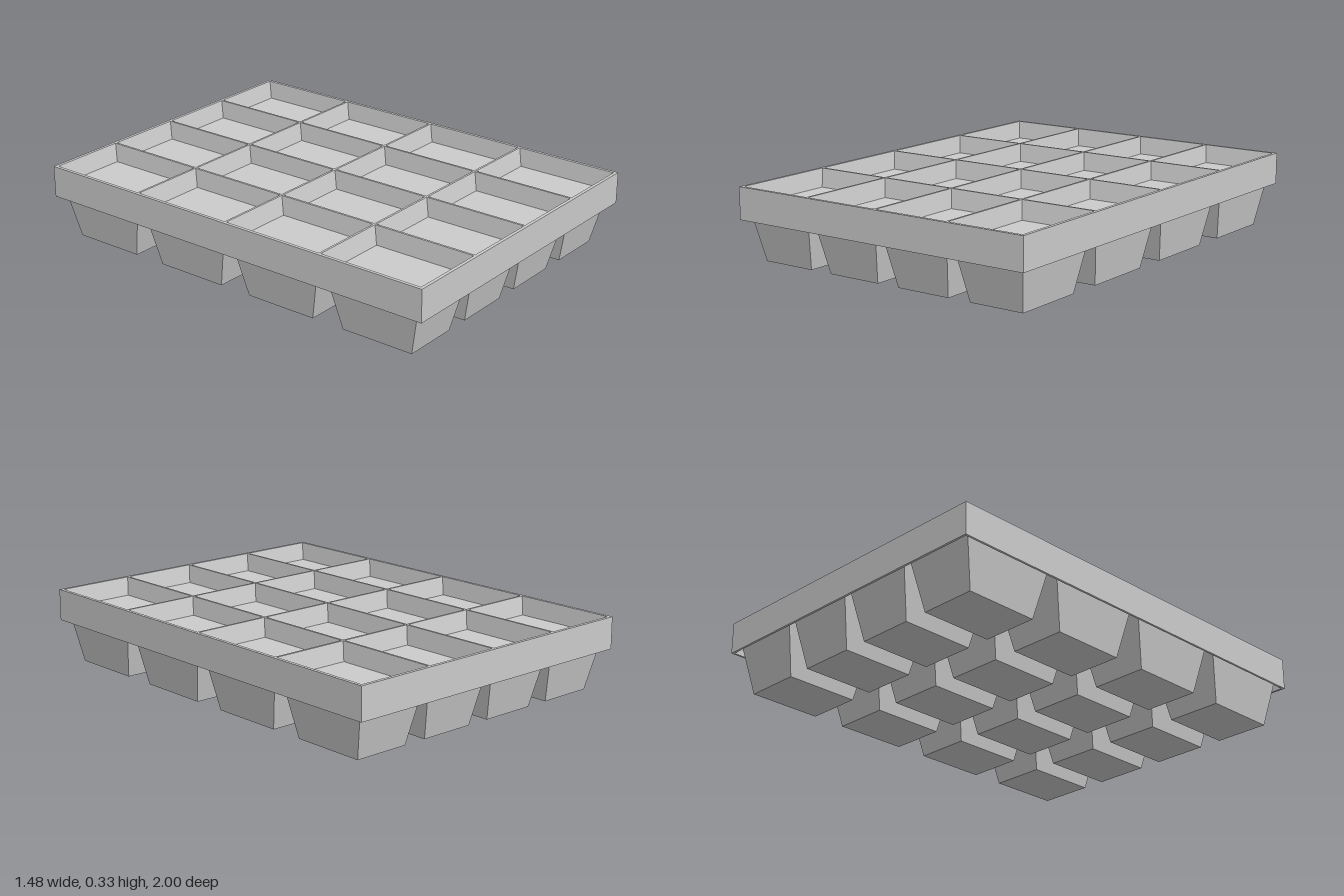
import * as THREE from 'three';

// Skin rectangular rings [halfX, y, halfZ] in order; optionally close the first ring from below.
function loftRects(rings, closeBottom) {
  const signs = [[1, 1], [1, -1], [-1, -1], [-1, 1]];
  const corners = rings.map(([hx, y, hz]) => signs.map(([sx, sz]) => [sx * hx, y, sz * hz]));
  const pos = [];
  const quad = (a, b, c, d) => pos.push(...a, ...b, ...c, ...a, ...c, ...d);
  for (let i = 0; i < corners.length - 1; i++) {
    const lo = corners[i], hi = corners[i + 1];
    for (let k = 0; k < 4; k++) {
      const n = (k + 1) % 4;
      quad(lo[k], lo[n], hi[n], hi[k]);
    }
  }
  if (closeBottom) {
    const [a, b, c, d] = corners[0];
    quad(d, c, b, a);
  }
  const geo = new THREE.BufferGeometry();
  geo.setAttribute('position', new THREE.Float32BufferAttribute(pos, 3));
  geo.computeVertexNormals();
  return geo;
}

export function createModel() {
  const group = new THREE.Group();
  group.name = 'seedlingTray';
  const mat = new THREE.MeshStandardMaterial({ color: 0xcccccc, flatShading: true, side: THREE.DoubleSide });
  const top = 0.332, fillY = 0.25, rimBottom = 0.188;
  const pitchX = 0.365, pitchZ = 0.495, count = 4;

  // Hollow rim skirt around the cells
  const rim = new THREE.Mesh(loftRects([
    [0.74, rimBottom, 1], [0.74, top, 1], [0.73, top, 0.99], [0.73, rimBottom, 0.99], [0.74, rimBottom, 1],
  ]), mat);
  rim.name = 'rim';
  group.add(rim);

  // Tapered cell: outer wall, thin lip, inner wall
  const cellGeo = loftRects([
    [0.128, 0, 0.17], [pitchX / 2, top, pitchZ / 2],
    [0.1775, top, 0.2425], [0.164, fillY, 0.2235],
  ], true);
  // Flat fill surface inside each cell
  const fillGeo = new THREE.PlaneGeometry(0.328, 0.447).rotateX(-Math.PI / 2);

  for (let i = 0; i < count; i++) {
    for (let j = 0; j < count; j++) {
      const cell = new THREE.Group();
      cell.name = `cell_${i}_${j}`;
      cell.position.set((i - 1.5) * pitchX, 0, (j - 1.5) * pitchZ);
      const pot = new THREE.Mesh(cellGeo, mat);
      pot.name = 'cellWall';
      const fill = new THREE.Mesh(fillGeo, mat);
      fill.name = 'soilSurface';
      fill.position.y = fillY;
      cell.add(pot, fill);
      group.add(cell);
    }
  }
  return group;
}
